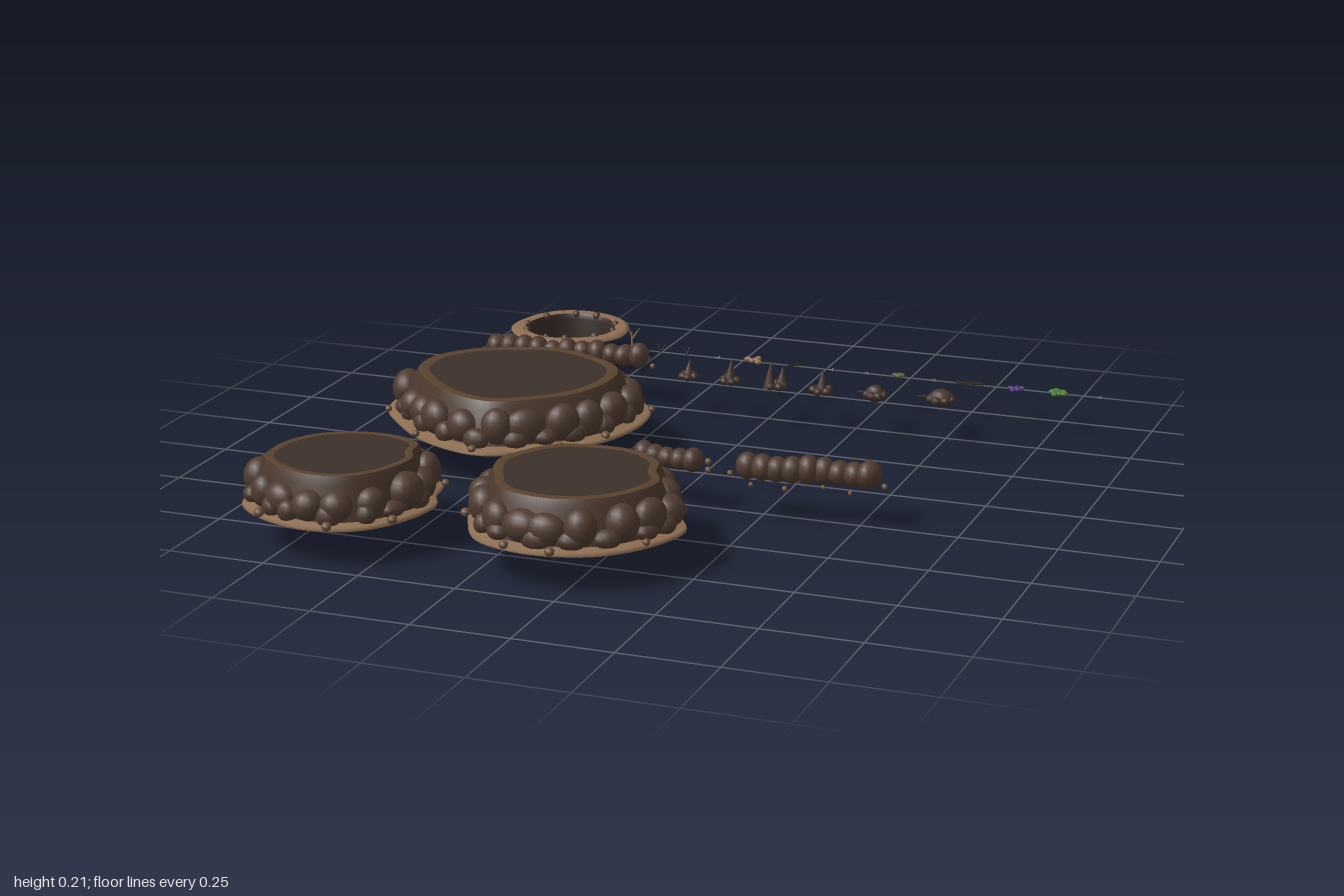
import * as THREE from 'three';
import { mergeGeometries } from 'three/addons/utils/BufferGeometryUtils.js';

const GROUND = 0.1;
const mat = (color, side = THREE.FrontSide) => new THREE.MeshStandardMaterial({ color, side });
const MATS = {
  stone: mat(0x4f3b30), wall: mat(0x4a372c, THREE.DoubleSide), rim: mat(0x59422f, THREE.DoubleSide),
  top: mat(0x3c302a, THREE.DoubleSide), sand: mat(0x8d6e52, THREE.DoubleSide), pebble: mat(0x6a4f3c),
  pit: mat(0x352a25, THREE.DoubleSide), spike: mat(0x44332a), twig: mat(0x2f2621), tan: mat(0x8d6e52),
  grey: mat(0x8a8a84), moss: mat(0x55603a), purple: mat(0x5a3a80), leaf: mat(0x4b7a35),
};

let seed = 7;
const rand = (a = 0, b = 1) => {
  seed = (seed * 16807) % 2147483647;
  return a + (b - a) * (seed / 2147483647);
};

function add(parent, name, geos, material) {
  const mesh = new THREE.Mesh(Array.isArray(geos) ? mergeGeometries(geos) : geos, material);
  mesh.name = name;
  parent.add(mesh);
  return mesh;
}

// Ellipsoid stone, turned about y
function stone(x, y, z, rx, ry, rz, turn = 0, detail = 12) {
  return new THREE.SphereGeometry(1, detail, Math.round(detail * 0.7))
    .scale(rx, ry, rz).rotateY(turn).translate(x, y, z);
}

// Cone or stick between two points
function stick(a, b, r0, r1, sides = 6) {
  const from = new THREE.Vector3(...a), dir = new THREE.Vector3(...b).sub(from);
  const len = dir.length();
  const q = new THREE.Quaternion().setFromUnitVectors(new THREE.Vector3(0, 1, 0), dir.normalize());
  return new THREE.CylinderGeometry(r1, r0, len, sides).translate(0, len / 2, 0)
    .applyQuaternion(q).translate(...a);
}

// Skin through scaled copies of an outline; each ring is [scale, y]
function loft(outline, cx, cz, rings) {
  const n = outline.length, pos = [], idx = [];
  for (const [s, y] of rings)
    for (const p of outline) pos.push(cx + (p.x - cx) * s, y, cz + (p.z - cz) * s);
  for (let i = 0; i < rings.length - 1; i++)
    for (let j = 0; j < n; j++) {
      const a = i * n + j, b = i * n + (j + 1) % n;
      idx.push(a, a + n, b, b, a + n, b + n);
    }
  const g = new THREE.BufferGeometry();
  g.setAttribute('position', new THREE.Float32BufferAttribute(pos, 3));
  g.setIndex(idx);
  g.computeVertexNormals();
  return g;
}

const smoothOutline = (pts) => new THREE.CatmullRomCurve3(
  pts.map(([x, z]) => new THREE.Vector3(x, 0, z)), true).getSpacedPoints(72).slice(0, 72);

// Raised plateau ringed with boulders on a sandy skirt, hollow below
function mound(name, cx, cz, pts, boulders) {
  const g = new THREE.Group();
  g.name = name;
  const o = smoothOutline(pts);
  add(g, 'sandSkirt', loft(o, cx, cz, [[0.99, 0.091], [1, 0.096], [0.98, 0.102], [0.86, 0.108]]), MATS.sand);
  add(g, 'wall', loft(o, cx, cz, [[0.9, 0.095], [0.86, 0.14], [0.8, 0.19], [0.755, 0.212]]), MATS.wall);
  add(g, 'rim', loft(o, cx, cz, [[0.755, 0.212], [0.73, 0.214], [0.67, 0.212]]), MATS.rim);
  add(g, 'plateau', loft(o, cx, cz, [[0.68, 0.212], [0.0, 0.212]]), MATS.top);

  const big = [], small = [], pebbles = [];
  const at = (t, s) => {
    const k = Math.floor((((t % 1) + 1) % 1) * 72), p = o[k], q = o[(k + 1) % 72];
    return { x: cx + (p.x - cx) * s, z: cz + (p.z - cz) * s, turn: -Math.atan2(q.z - p.z, q.x - p.x) };
  };
  let length = 0;
  o.forEach((p, i) => { length += p.distanceTo(o[(i + 1) % 72]); });
  const half = length * 0.85 / boulders / 2;
  for (let i = 0; i < boulders; i++) {
    const p = at((i + rand(-0.15, 0.15)) / boulders, rand(0.82, 0.85));
    const h = rand(0.038, 0.05);
    big.push(stone(p.x, 0.103 + h, p.z, half * rand(0.9, 1.25), h, rand(0.032, 0.042), p.turn, 16));
    const s = at((i + 0.5 + rand(-0.15, 0.15)) / boulders, 0.88);
    small.push(stone(s.x, 0.122, s.z, half * rand(0.6, 0.9), rand(0.02, 0.03), 0.026, s.turn));
    if (i % 2) {
      const e = at((i + rand()) / boulders, rand(0.96, 1.02)), r = rand(0.009, 0.014);
      pebbles.push(stone(e.x, 0.106, e.z, r, r * 0.9, r, 0, 8));
    }
  }
  add(g, 'boulders', big, MATS.stone);
  add(g, 'lowStones', small, MATS.stone);
  add(g, 'pebbles', pebbles, MATS.pebble);
  return g;
}

// Line of overlapping rocks with scattered pebbles
function ridge(name, path, count, r) {
  const g = new THREE.Group();
  g.name = name;
  const curve = new THREE.CatmullRomCurve3(path.map(([x, z]) => new THREE.Vector3(x, 0, z)));
  const rocks = [], pebbles = [];
  for (let i = 0; i < count; i++) {
    const p = curve.getPointAt(i / (count - 1)), h = rand(0.85, 1.12) * r;
    rocks.push(stone(p.x, GROUND + h * 0.9, p.z, r * 0.85, h, r * rand(0.85, 1.1), rand(-0.4, 0.4), 14));
    const side = i % 2 ? 1 : -1, s = rand(0.006, 0.01);
    pebbles.push(stone(p.x + rand(-0.02, 0.02), GROUND + s * 0.7, p.z + side * rand(0.042, 0.075), s, s, s, 0, 8));
  }
  for (const [t, d] of [[0, -0.045], [1, 0.04]]) {
    const p = curve.getPointAt(t);
    pebbles.push(stone(p.x + d, GROUND + 0.006, p.z, 0.008, 0.008, 0.008, 0, 8));
  }
  add(g, 'rocks', rocks, MATS.stone);
  add(g, 'pebbles', pebbles, MATS.pebble);
  return g;
}

// Open tapered shaft with a sandy collar
function pit() {
  const g = new THREE.Group(), cx = -0.715, cz = -0.835;
  g.name = 'pit';
  const circle = Array.from({ length: 48 }, (_, i) => {
    const a = i / 48 * Math.PI * 2, w = 1 + 0.02 * Math.sin(3 * a + 1) + 0.01 * Math.sin(5 * a);
    return new THREE.Vector3(cx + w * Math.cos(a), 0, cz + w * Math.sin(a));
  });
  add(g, 'collar', loft(circle, cx, cz, [[0.165, 0.092], [0.168, 0.098], [0.155, 0.104], [0.128, 0.102]]), MATS.sand);
  add(g, 'shaft', loft(circle, cx, cz, [[0.128, 0.102], [0.119, 0.088], [0.11, 0]]), MATS.pit);
  const stones = [];
  for (let i = 0; i < 10; i++) {
    const a = (i + rand(-0.2, 0.2)) / 10 * Math.PI * 2, r = rand(0.008, 0.012);
    stones.push(stone(cx + 0.128 * Math.cos(a), 0.101, cz + 0.128 * Math.sin(a), r, r, r, 0, 8));
  }
  add(g, 'edgeStones', stones, MATS.stone);
  return g;
}

// Spikes of rock, then rubble heaps with splinters
function spikesAndRubble() {
  const g = new THREE.Group();
  g.name = 'spikesAndRubble';
  const z = -0.47;
  [[-0.22, 1, 0.05], [-0.1, 1, 0.065], [0.03, 2, 0.075], [0.16, 1, 0.06]].forEach(([x, n, h], k) => {
    const parts = [];
    for (let i = 0; i < n; i++) {
      const px = x + (i - (n - 1) / 2) * 0.026, pz = z + (i - (n - 1) / 2) * -0.022;
      parts.push(stick([px, GROUND, pz], [px + 0.004, GROUND + h * (1 - i * 0.25), pz - 0.004], 0.018, 0.001, 8));
    }
    for (let i = 0; i < 5; i++) {
      const a = i * 1.257 + k, r = 0.016 + k * 0.002;
      parts.push(stone(x + r * Math.cos(a), GROUND + 0.007, z + r * Math.sin(a), 0.013, 0.011, 0.012, a, 8));
    }
    add(g, 'spike', parts, MATS.spike);
  });
  [[0.31, -0.472, 0.026], [0.485, -0.495, 0.034]].forEach(([x, cz, size]) => {
    const parts = [stone(x, GROUND + 0.012, cz, size, 0.024, size * 0.8)];
    for (let i = 0; i < 7; i++) {
      const a = i * 0.9, c = Math.cos(a), s = Math.sin(a);
      parts.push(stone(x + c * size * 0.8, GROUND + 0.01, cz + s * size * 0.8, 0.014, 0.012, 0.013, a, 8));
      if (i % 2) parts.push(stick([x, GROUND + 0.012, cz], [x + c * size * 1.9, GROUND + 0.02, cz + s * size * 1.8], 0.005, 0.002));
    }
    add(g, 'rubble', parts, MATS.spike);
  });
  return g;
}

// Row of tiny debris and plants
function debris() {
  const g = new THREE.Group(), z = -0.68, y = GROUND;
  g.name = 'debris';
  const blades = (x, n, len, h, r = 0.0015) => Array.from({ length: n }, (_, i) => {
    const a = i * 2.4 + x * 9;
    return stick([x, y, z], [x + len * Math.cos(a), y + h, z + len * Math.sin(a)], r, r * 0.4, 5);
  });
  const clump = (x, n, spread, r) => Array.from({ length: n }, (_, i) => {
    const a = i * 2.4, d = spread * Math.sqrt(i / n);
    return stone(x + d * Math.cos(a), y + r * 0.5, z + d * Math.sin(a), r, r * 0.6, r * 0.8, a, 8);
  });
  add(g, 'deadTwig', [stick([-0.465, y, z], [-0.465, y + 0.05, z + 0.005], 0.004, 0.002),
    stick([-0.465, y + 0.04, z + 0.004], [-0.475, y + 0.08, z + 0.018], 0.003, 0.001),
    stick([-0.465, y + 0.03, z + 0.003], [-0.447, y + 0.06, z - 0.01], 0.003, 0.001)], MATS.tan);
  add(g, 'roots', blades(-0.465, 5, 0.02, 0.004, 0.003), MATS.twig);
  for (const x of [-0.38, -0.3]) add(g, 'dryTuft', blades(x, 5, 0.016, 0.02), MATS.twig);
  add(g, 'gravel', clump(-0.21, 4, 0.012, 0.003), MATS.grey);
  add(g, 'tanPebbles', clump(-0.1, 5, 0.027, 0.011), MATS.tan);
  add(g, 'fallenTwig', [stick([0.0, y + 0.004, z + 0.02], [0.045, y + 0.006, z - 0.02], 0.003, 0.002),
    stick([0.02, y + 0.005, z], [0.012, y + 0.008, z - 0.02], 0.002, 0.001)], MATS.twig);
  for (const x of [0.12, 0.22, 0.41, 0.87]) add(g, 'chips', clump(x, 4, 0.012, 0.0025), MATS.grey);
  add(g, 'mossClump', clump(0.31, 6, 0.012, 0.009), MATS.moss);
  add(g, 'splinters', [stick([0.475, y + 0.004, z + 0.006], [0.55, y + 0.004, z + 0.002], 0.004, 0.003),
    stick([0.49, y + 0.004, z + 0.012], [0.545, y + 0.004, z - 0.008], 0.004, 0.003)], MATS.twig);
  add(g, 'purplePlant', clump(0.64, 7, 0.02, 0.008).map((m) => m.translate(0, -0.002, 0)), MATS.purple);
  add(g, 'greenPlant', clump(0.755, 9, 0.022, 0.011).map((m) => m.translate(0, -0.003, 0)), MATS.leaf);
  return g;
}

export function createModel() {
  const model = new THREE.Group();
  model.name = 'rockyTerrainSet';
  model.add(
    mound('largeMound', -0.525, -0.012, [[-0.19, -0.07], [-0.235, 0.13], [-0.37, 0.27], [-0.49, 0.33], [-0.66, 0.275],
      [-0.79, 0.16], [-0.87, 0.05], [-0.88, -0.1], [-0.79, -0.235], [-0.66, -0.3], [-0.53, -0.345], [-0.37, -0.3], [-0.23, -0.2]], 20),
    mound('smallMound', -0.655, 0.755, [[-0.42, 0.725], [-0.455, 0.87], [-0.53, 0.96], [-0.65, 0.99], [-0.79, 0.945],
      [-0.87, 0.87], [-0.88, 0.715], [-0.82, 0.6], [-0.71, 0.535], [-0.58, 0.525], [-0.47, 0.575], [-0.45, 0.66]], 15),
    mound('mediumMound', -0.065, 0.69, [[0.21, 0.69], [0.175, 0.81], [0.08, 0.92], [-0.075, 0.965], [-0.23, 0.92],
      [-0.3, 0.81], [-0.35, 0.66], [-0.31, 0.545], [-0.23, 0.45], [-0.1, 0.415], [0.03, 0.425], [0.135, 0.505], [0.165, 0.6]], 17),
    ridge('backRidge', [[-0.8, -0.505], [-0.65, -0.505], [-0.5, -0.53], [-0.385, -0.525]], 11, 0.033),
    ridge('shortRidge', [[-0.075, 0.235], [0, 0.26], [0.07, 0.27]], 5, 0.03),
    ridge('frontRidge', [[0.215, 0.275], [0.33, 0.27], [0.43, 0.245], [0.52, 0.245]], 9, 0.034),
    pit(), spikesAndRubble(), debris(),
  );
  return model;
}
